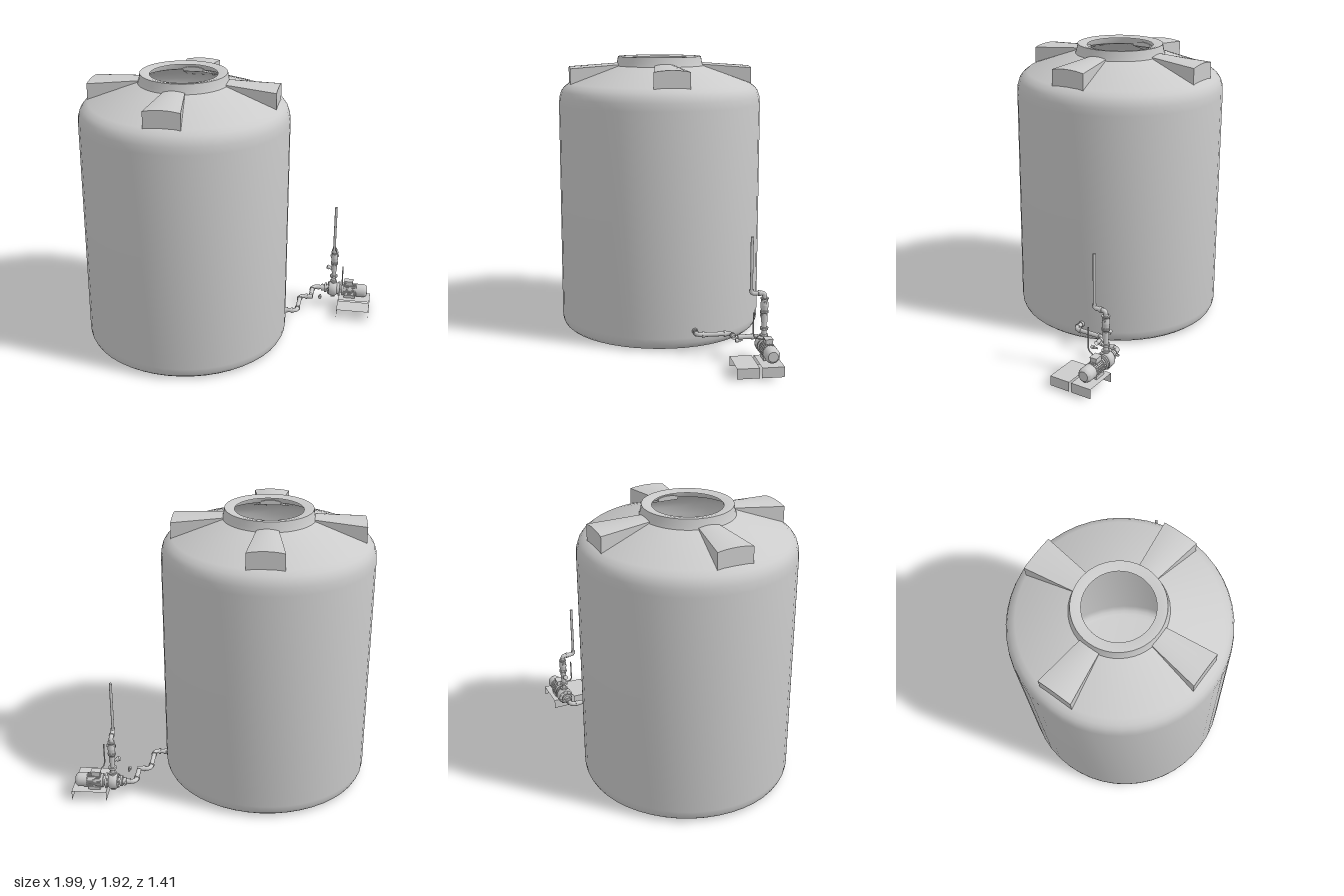
import * as THREE from 'three';
import { toCreasedNormals } from 'three/addons/utils/BufferGeometryUtils.js';

const grey = new THREE.MeshStandardMaterial({ color: 0xcccccc });
const greyThin = new THREE.MeshStandardMaterial({ color: 0xcccccc, side: THREE.DoubleSide });
const V = (x, y, z) => new THREE.Vector3(x, y, z);

function add(parent, name, geometry, x = 0, y = 0, z = 0, material = grey) {
  const mesh = new THREE.Mesh(geometry, material);
  mesh.name = name;
  mesh.position.set(x, y, z);
  parent.add(mesh);
  return mesh;
}

function box(parent, name, w, h, d, x, y, z) {
  return add(parent, name, new THREE.BoxGeometry(w, h, d), x, y, z);
}

// Cylinder between two points
function rod(parent, name, a, b, r, r2 = r, sides = 20) {
  const dir = b.clone().sub(a);
  const mid = a.clone().add(b).multiplyScalar(0.5);
  const mesh = add(parent, name, new THREE.CylinderGeometry(r2, r, dir.length(), sides), mid.x, mid.y, mid.z);
  mesh.quaternion.setFromUnitVectors(V(0, 1, 0), dir.normalize());
  return mesh;
}

// Pipe along a polyline with rounded elbows
function pipe(parent, name, points, r, bend) {
  const path = new THREE.CurvePath();
  let from = points[0];
  for (let i = 1; i < points.length - 1; i++) {
    const p = points[i];
    const before = p.clone().add(points[i - 1].clone().sub(p).setLength(bend));
    const after = p.clone().add(points[i + 1].clone().sub(p).setLength(bend));
    path.add(new THREE.LineCurve3(from, before));
    path.add(new THREE.QuadraticBezierCurve3(before, p, after));
    from = after;
  }
  path.add(new THREE.LineCurve3(from, points[points.length - 1]));
  return add(parent, name, new THREE.TubeGeometry(path, 96, r, 14), 0, 0, 0, greyThin);
}

// Solid turned around the x axis from [x, radius] pairs
function turnedX(parent, name, pairs, y, z) {
  const profile = pairs.map(([x, r]) => new THREE.Vector2(r, -x));
  profile.reverse();
  const geometry = new THREE.LatheGeometry(profile, 28);
  geometry.rotateZ(Math.PI / 2);
  return add(parent, name, toCreasedNormals(geometry, 0.7), 0, y, z, greyThin);
}

function buildTank() {
  const tank = new THREE.Group();
  tank.name = 'tank';
  tank.position.x = -0.29;
  // Hollow shell, open at the top
  const profile = [
    [0, 0.005], [0.64, 0.005], [0.668, 0.012], [0.69, 0.03], [0.702, 0.055], [0.706, 0.09],
    [0.706, 1.6], [0.702, 1.65], [0.69, 1.688], [0.67, 1.715], [0.635, 1.742],
    [0.305, 1.86], [0.298, 1.88], [0.29, 1.925], [0.27, 1.925], [0.225, 1.915],
  ].map(([r, y]) => new THREE.Vector2(r, y));
  add(tank, 'tankShell', toCreasedNormals(new THREE.LatheGeometry(profile, 48), 0.8), 0, 0, 0, greyThin);

  // Four lugs that widen outwards, with a slightly arched top
  for (let i = 0; i < 4; i++) {
    const g = new THREE.BoxGeometry(2, 1, 1, 8, 1, 1);
    const p = g.attributes.position;
    for (let k = 0; k < p.count; k++) {
      const u = p.getX(k), t = p.getZ(k) + 0.5, top = p.getY(k) > 0;
      const y = top ? 1.882 - 0.024 * t - 0.012 * u * u : 1.85 - 0.115 * t;
      p.setXYZ(k, u * (0.07 + 0.05 * t), y, 0.285 + 0.345 * t);
    }
    g.computeVertexNormals();
    add(tank, 'roofLug', g).rotation.y = i * Math.PI / 2;
  }
  return tank;
}

function buildSuctionLine() {
  const line = new THREE.Group();
  line.name = 'suctionLine';
  const y = 0.137;
  pipe(line, 'tankOutletPipe', [V(0.39, y, -0.145), V(0.487, y, -0.145), V(0.487, y, -0.375), V(0.58, y, -0.375)], 0.015, 0.035);
  pipe(line, 'pumpInletPipe', [V(0.565, y, -0.4), V(0.565, y, -0.538), V(0.67, y, -0.538)], 0.016, 0.035);
  // Couplings at the pipe joints
  const joints = [
    [V(0.405, y, -0.145), V(0.42, y, -0.145)], [V(0.445, y, -0.145), V(0.458, y, -0.145)],
    [V(0.487, y, -0.18), V(0.487, y, -0.195)], [V(0.487, y, -0.325), V(0.487, y, -0.34)],
    [V(0.525, y, -0.375), V(0.54, y, -0.375)],
    [V(0.565, y, -0.49), V(0.565, y, -0.505)], [V(0.602, y, -0.538), V(0.616, y, -0.538)],
  ];
  for (const [a, b] of joints) rod(line, 'pipeCoupling', a, b, 0.02);
  // Loose valve handle beside the line
  rod(line, 'valveStem', V(0.632, y, -0.372), V(0.632, y, -0.418), 0.006);
  rod(line, 'valveKnob', V(0.632, y, -0.372), V(0.632, y, -0.392), 0.012);
  // Inlet valve in front of the pump
  rod(line, 'inletValve', V(0.628, y, -0.538), V(0.652, y, -0.538), 0.025);
  rod(line, 'inletValveStem', V(0.635, y, -0.538), V(0.635, y, -0.582), 0.008);
  return line;
}

function buildPump() {
  const pump = new THREE.Group();
  pump.name = 'pump';
  const y = 0.138, z = -0.538;
  turnedX(pump, 'pumpCasing', [
    [0.655, 0], [0.655, 0.036], [0.67, 0.036], [0.67, 0.024], [0.685, 0.026], [0.688, 0.05],
    [0.7, 0.056], [0.735, 0.056], [0.745, 0.05], [0.748, 0.044], [0.757, 0.044], [0.757, 0.052],
    [0.77, 0.052], [0.772, 0.03], [0.79, 0.03], [0.79, 0],
  ], y, z);
  turnedX(pump, 'motorBody', [
    [0.785, 0], [0.785, 0.046], [0.8, 0.048], [0.802, 0.041], [0.893, 0.041], [0.895, 0.048],
    [0.95, 0.048], [0.965, 0.043], [0.975, 0.032], [0.975, 0],
  ], y, z);
  // Cooling fins and casing bolts
  for (let i = 0; i < 24; i++) {
    const a = i * Math.PI / 12;
    box(pump, 'coolingFin', 0.094, 0.01, 0.004, 0.847, y + 0.043 * Math.cos(a), z + 0.043 * Math.sin(a)).rotation.x = a;
  }
  for (let i = 0; i < 8; i++) {
    const a = (i + 0.5) * Math.PI / 4;
    const by = y + 0.042 * Math.cos(a), bz = z + 0.042 * Math.sin(a);
    rod(pump, 'casingBolt', V(0.678, by, bz), V(0.69, by, bz), 0.005, 0.005, 6);
  }
  // Terminal box and motor feet
  box(pump, 'terminalBox', 0.06, 0.03, 0.045, 0.835, 0.195, z);
  box(pump, 'terminalLid', 0.066, 0.006, 0.051, 0.835, 0.212, z);
  for (const s of [-1, 1]) box(pump, 'motorFoot', 0.08, 0.022, 0.02, 0.845, 0.096, z + s * 0.03);
  box(pump, 'pumpFoot', 0.03, 0.02, 0.05, 0.72, 0.088, z);
  // Cable conduit
  pipe(pump, 'cableConduit', [V(0.815, 0.2, -0.515), V(0.79, 0.205, -0.452), V(0.79, 0.37, -0.452)], 0.0045, 0.035);
  return pump;
}

function buildRiser() {
  const riser = new THREE.Group();
  riser.name = 'dischargeRiser';
  const x = 0.72, z = -0.538;
  const up = (name, y0, y1, r, r2) => rod(riser, name, V(x, y0, z), V(x, y1, z), r, r2);
  up('riserPipe', 0.17, 0.46, 0.016);
  up('outletNeck', 0.185, 0.205, 0.022);
  for (const fy of [0.197, 0.235, 0.243, 0.345, 0.354, 0.437]) up('flange', fy, fy + 0.007, 0.027);
  up('tee', 0.285, 0.335, 0.02);
  up('checkValve', 0.361, 0.395, 0.022, 0.026);
  up('valveCollar', 0.395, 0.43, 0.026, 0.022);
  rod(riser, 'valveHandle', V(0.69, 0.415, z), V(0.75, 0.415, z), 0.01);
  // Angled side branch
  rod(riser, 'sideBranch', V(x, 0.295, z), V(0.678, 0.313, z), 0.011);
  rod(riser, 'branchCap', V(0.687, 0.309, z), V(0.667, 0.318, z), 0.016);
  // Offset elbow and tall thin pipe
  pipe(riser, 'offsetPipe', [V(x, 0.44, z), V(x, 0.475, z), V(x, 0.475, -0.452), V(x, 0.5, -0.452)], 0.015, 0.022);
  rod(riser, 'offsetCoupling', V(x, 0.475, -0.51), V(x, 0.475, -0.496), 0.019);
  rod(riser, 'tallPipe', V(x, 0.48, -0.452), V(x, 0.842, -0.452), 0.0095);
  return riser;
}

function buildStands() {
  const stands = new THREE.Group();
  stands.name = 'pumpStands';
  // Thin sheet bridges: a top and two end plates
  for (const z of [-0.535, -0.378]) {
    const top = add(stands, 'standTop', new THREE.PlaneGeometry(0.235, 0.142), 0.88, 0.081, z, greyThin);
    top.rotation.x = -Math.PI / 2;
    for (const x of [0.7625, 0.9975]) {
      const end = add(stands, 'standEnd', new THREE.PlaneGeometry(0.142, 0.066), x, 0.048, z, greyThin);
      end.rotation.y = Math.PI / 2;
    }
  }
  return stands;
}

export function createModel() {
  const model = new THREE.Group();
  model.name = 'waterTankWithPump';
  model.add(buildTank(), buildSuctionLine(), buildPump(), buildRiser(), buildStands());
  return model;
}
